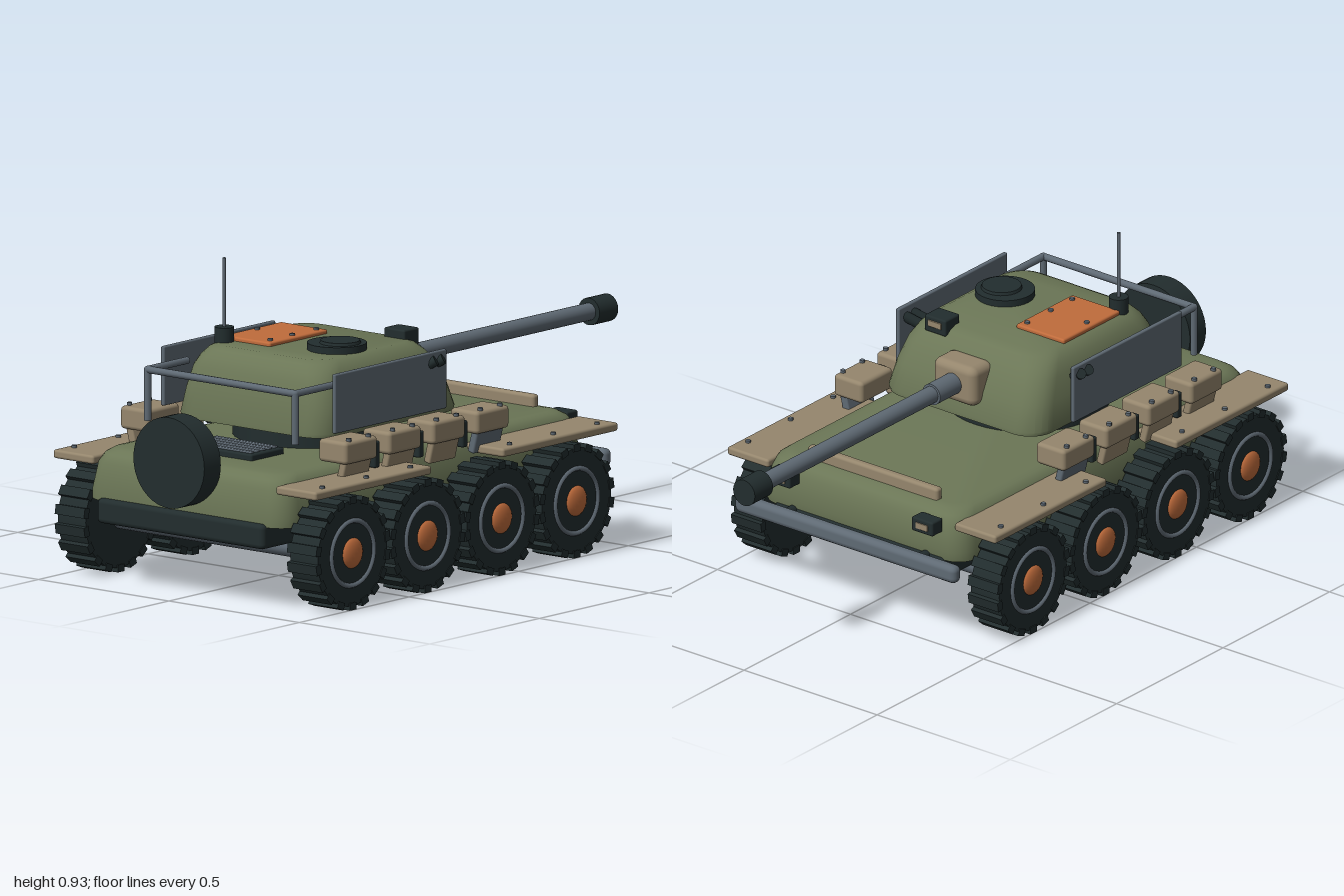
import * as THREE from 'three';
import { toCreasedNormals } from 'three/addons/utils/BufferGeometryUtils.js';
import { RoundedBoxGeometry } from 'three/addons/geometries/RoundedBoxGeometry.js';

const material = (name, color) => {
  const m = new THREE.MeshStandardMaterial({ color });
  m.name = name;
  return m;
};

// Stacks rounded rectangles [y, halfWidth, zMin, zMax, cornerRadius] into a closed body
function loft(layers) {
  const pos = [], idx = [], steps = 6, n = 4 * (steps + 1);
  for (const [y, hx, z0, z1, r] of layers) {
    const zc = (z0 + z1) / 2, hz = (z1 - z0) / 2;
    for (let q = 0; q < 4; q++) {
      const sx = q === 0 || q === 3 ? 1 : -1, sz = q < 2 ? 1 : -1;
      for (let k = 0; k <= steps; k++) {
        const a = (q + k / steps) * Math.PI / 2;
        pos.push(sx * (hx - r) + r * Math.cos(a), y, zc + sz * (hz - r) + r * Math.sin(a));
      }
    }
  }
  for (let l = 0; l < layers.length - 1; l++) {
    for (let j = 0; j < n; j++) {
      const a = l * n + j, b = l * n + (j + 1) % n;
      idx.push(a, a + n, b, b, a + n, b + n);
    }
  }
  const top = (layers.length - 1) * n;
  for (let j = 1; j < n - 1; j++) idx.push(0, j, j + 1, top, top + j + 1, top + j);
  const g = new THREE.BufferGeometry();
  g.setAttribute('position', new THREE.Float32BufferAttribute(pos, 3));
  g.setIndex(idx);
  return toCreasedNormals(g, 0.6);
}

export function createModel() {
  const model = new THREE.Group();
  model.name = 'wheeledTank';
  const olive = material('olive', 0x6b7656);
  const tan = material('tan', 0x95866d);
  const steel = material('steel', 0x5f6a74);
  const dark = material('dark', 0x222d2e);
  const orange = material('orange', 0xc06c3c);

  const add = (name, geo, mat, x = 0, y = 0, z = 0, parent = model) => {
    const m = new THREE.Mesh(geo, mat);
    m.name = name;
    m.position.set(x, y, z);
    parent.add(m);
    return m;
  };
  const box = (name, mat, w, h, d, x, y, z, r = 0.006, parent = model) =>
    add(name, new RoundedBoxGeometry(w, h, d, 2, r), mat, x, y, z, parent);
  // Cylinder between two points
  const rod = (name, mat, a, b, r, sides = 16) => {
    const p = new THREE.Vector3(...a), q = new THREE.Vector3(...b), d = q.clone().sub(p);
    const m = add(name, new THREE.CylinderGeometry(r, r, d.length(), sides), mat);
    m.position.copy(p).add(q).multiplyScalar(0.5);
    m.quaternion.setFromUnitVectors(new THREE.Vector3(0, 1, 0), d.normalize());
    return m;
  };
  const bolt = (x, y, z, mat = steel) =>
    add('bolt', new THREE.CylinderGeometry(0.008, 0.008, 0.01, 8), mat, x, y, z);

  // Hull
  add('hull', loft([
    [0.25, 0.385, -0.455, 0.935, 0.07], [0.28, 0.385, -0.46, 0.935, 0.07],
    [0.36, 0.37, -0.45, 0.925, 0.07], [0.385, 0.357, -0.435, 0.91, 0.07],
    [0.398, 0.34, -0.415, 0.89, 0.07], [0.402, 0.32, -0.39, 0.87, 0.06]]), olive);
  box('belly', dark, 0.64, 0.075, 1.415, 0, 0.222, 0.245, 0.015);
  box('bumperBar', steel, 0.83, 0.055, 0.04, 0, 0.25, -0.512, 0.018);
  box('splashBoard', tan, 0.49, 0.065, 0.028, 0, 0.405, -0.385, 0.01);
  for (const s of [-1, 1]) rod('bumperBracket', dark, [s * 0.25, 0.25, -0.44], [s * 0.25, 0.25, -0.505], 0.015);

  // Engine grille and spare wheel
  box('grilleBase', dark, 0.265, 0.025, 0.15, 0, 0.408, 0.705);
  for (let i = 0; i < 5; i++) box('grilleSlat', steel, 0.235, 0.012, 0.016, 0, 0.42, 0.65 + i * 0.027, 0.003);
  rod('spareWheel', dark, [0, 0.413, 0.925], [0, 0.413, 1.0], 0.136, 40);

  // Turret
  add('turretRing', new THREE.CylinderGeometry(0.245, 0.245, 0.08, 40), dark, 0, 0.43, 0.33);
  add('turret', loft([
    [0.463, 0.293, 0.0, 0.645, 0.08], [0.475, 0.297, 0.0, 0.645, 0.08],
    [0.55, 0.283, 0.022, 0.635, 0.08], [0.615, 0.268, 0.055, 0.62, 0.08],
    [0.645, 0.253, 0.08, 0.605, 0.08], [0.667, 0.236, 0.105, 0.585, 0.08],
    [0.677, 0.215, 0.13, 0.565, 0.07]]), olive);

  // Gun
  box('mantlet', tan, 0.16, 0.125, 0.1, 0, 0.573, 0.03, 0.025);
  rod('barrelSleeve', steel, [0, 0.573, 0], [0, 0.573, -0.12], 0.033, 24);
  rod('barrel', steel, [0, 0.573, -0.1], [0, 0.573, -0.93], 0.026, 24);
  rod('muzzle', dark, [0, 0.573, -0.915], [0, 0.573, -1.0], 0.041, 24);

  // Roof fittings
  add('cupola', new THREE.CylinderGeometry(0.088, 0.088, 0.025, 32), dark, 0.127, 0.685, 0.385);
  add('cupolaLid', new THREE.CylinderGeometry(0.058, 0.062, 0.012, 32), dark, 0.14, 0.7, 0.385);
  box('roofHatch', orange, 0.18, 0.016, 0.265, -0.132, 0.681, 0.357);
  for (const [x, z] of [[-0.2, 0.36], [-0.065, 0.25], [-0.065, 0.46], [-0.065, 0.36]]) bolt(x, 0.69, z);
  add('antennaBase', new THREE.CylinderGeometry(0.029, 0.029, 0.05, 16), dark, -0.2, 0.696, 0.51);
  rod('antenna', steel, [-0.2, 0.71, 0.51], [-0.2, 0.927, 0.51], 0.0055, 8);
  box('periscope', dark, 0.08, 0.052, 0.068, 0.15, 0.678, 0.118);
  box('periscopeLens', tan, 0.05, 0.02, 0.006, 0.15, 0.682, 0.083, 0.002);

  // Rear stowage rail
  const railPath = new THREE.CurvePath();
  const corners = [[-0.283, 0.62, 0.58], [-0.283, 0.62, 0.76], [0.283, 0.62, 0.76], [0.283, 0.62, 0.58]]
    .map(p => new THREE.Vector3(...p));
  for (let i = 0; i < 3; i++) railPath.add(new THREE.LineCurve3(corners[i], corners[i + 1]));
  for (const c of railPath.curves) rod('rail', steel, c.v1.toArray(), c.v2.toArray(), 0.011, 10);
  for (const s of [-1, 1]) {
    rod('railPost', steel, [s * 0.283, 0.468, 0.76], [s * 0.283, 0.62, 0.76], 0.011, 10);
    add('railCorner', new THREE.SphereGeometry(0.011, 10, 8), steel, s * 0.283, 0.62, 0.76);
  }

  // Tyre with lugs, rim ring and hub, facing +x
  const wheel = (z, s) => {
    const w = new THREE.Group();
    w.name = 'wheel';
    w.position.set(s * 0.445, 0.17, z);
    if (s < 0) w.rotation.y = Math.PI;
    model.add(w);
    add('tyre', new THREE.CylinderGeometry(0.158, 0.158, 0.106, 40).rotateZ(Math.PI / 2), dark, 0, 0, 0, w);
    for (let i = 0; i < 18; i++) {
      const a = i / 18 * Math.PI * 2;
      const lug = add('lug', new THREE.BoxGeometry(0.112, 0.022, 0.03), dark,
        0, 0.159 * Math.cos(a), 0.159 * Math.sin(a), w);
      lug.rotation.x = a;
    }
    add('rimRing', new THREE.TorusGeometry(0.097, 0.008, 6, 40).rotateY(Math.PI / 2), steel, 0.052, 0, 0, w);
    add('hub', new THREE.SphereGeometry(0.046, 20, 12).scale(0.35, 1, 1), orange, 0.051, 0, 0, w);
  };

  for (const z of [0.755, 0.414, 0.075, -0.266]) {
    rod('axle', steel, [-0.4, 0.16, z], [0.4, 0.16, z], 0.031, 20);
    wheel(z, 1);
    wheel(z, -1);
  }

  for (const s of [-1, 1]) {
    // Fenders in two lengths
    for (const [z0, z1] of [[-0.45, 0.075], [0.4, 0.93]]) {
      box('fender', tan, 0.155, 0.026, z1 - z0, s * 0.427, 0.365, (z0 + z1) / 2, 0.008);
      for (const t of [0.12, 0.5, 0.88]) bolt(s * 0.475, 0.38, z0 + t * (z1 - z0));
    }
    // Stowage boxes with slanted brackets and straps
    for (const z of [0.635, 0.435, 0.235, 0.035]) {
      box('stowageBox', tan, 0.108, 0.068, 0.148, s * 0.38, 0.45, z, 0.012);
      const bracket = box('boxBracket', z < 0.1 ? steel : tan, 0.025, 0.075, 0.12, s * 0.403, 0.392, z);
      bracket.rotation.z = -s * 0.25;
      for (const d of [-0.045, 0.045]) bolt(s * 0.42, 0.487, z + d, steel);
    }
    for (const z of [0.535, 0.335, 0.135]) box('strap', dark, 0.03, 0.08, 0.025, s * 0.395, 0.42, z);

    // Side armour plates on the turret, with launchers through them
    box('sidePlate', steel, 0.014, 0.178, 0.51, s * 0.328, 0.576, 0.385, 0.005);
    for (const z of [0.22, 0.5]) rod('plateMount', steel, [s * 0.25, 0.54, z], [s * 0.328, 0.54, z], 0.01, 8);
    for (const z of [0.19, 0.225]) {
      rod('launcher', dark, [s * 0.29, 0.605, z], [s * 0.343, 0.64, z - 0.035], 0.016, 12);
    }

    // Headlights
    box('headlight', dark, 0.08, 0.045, 0.05, s * 0.268, 0.36, -0.475);
    box('headlightLens', tan, 0.045, 0.02, 0.006, s * 0.268, 0.36, -0.5, 0.002);
  }
  return model;
}
